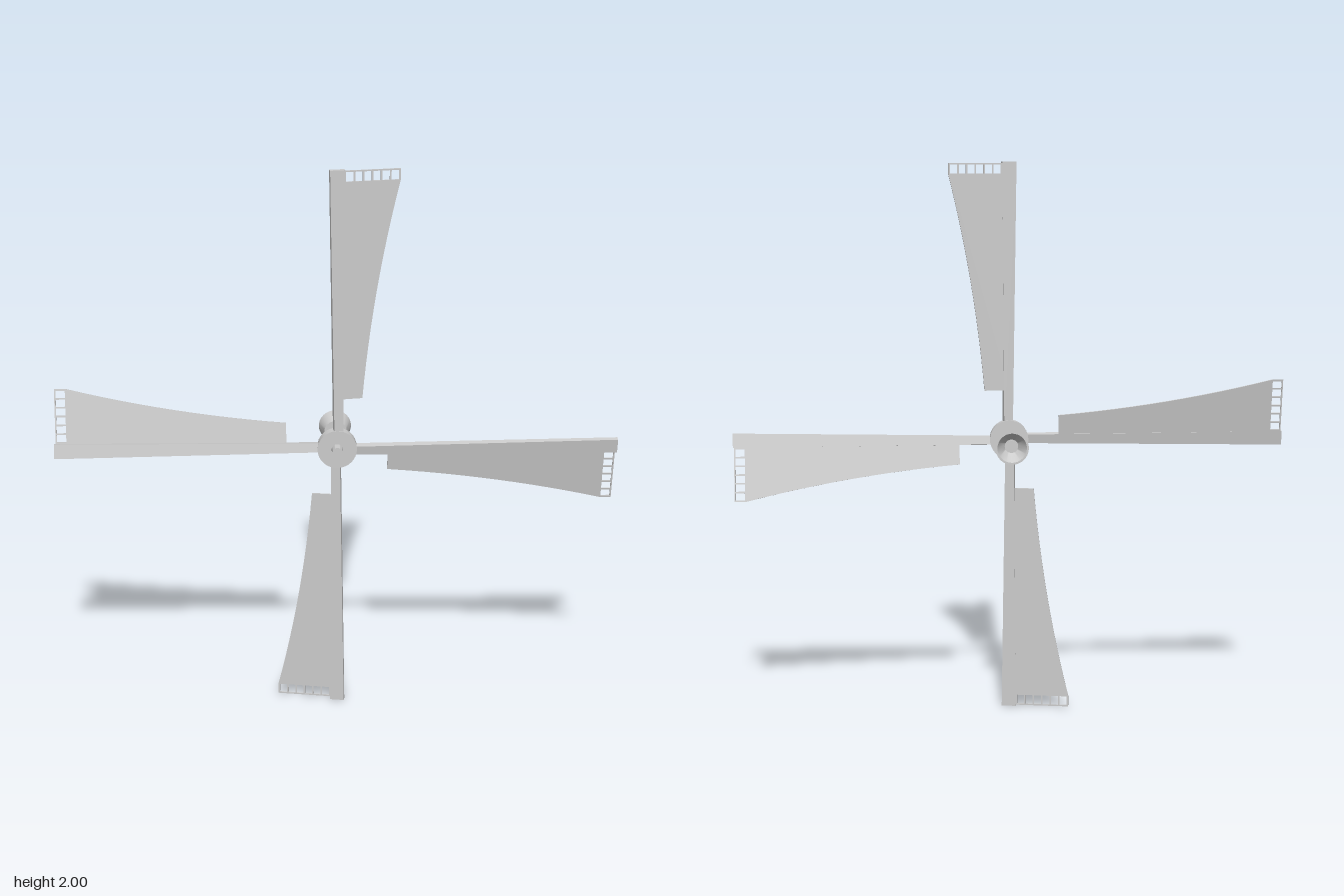
import * as THREE from 'three';
import { toCreasedNormals } from 'three/addons/utils/BufferGeometryUtils.js';

const material = new THREE.MeshStandardMaterial({ color: 0xcccccc, side: THREE.DoubleSide });

function addMesh(parent, name, geometry) {
  const mesh = new THREE.Mesh(geometry, material);
  mesh.name = name;
  parent.add(mesh);
  return mesh;
}

// Turned part along z, from [radius, z] points ordered back to front
function turned(points) {
  const geometry = new THREE.LatheGeometry(points.map(([r, z]) => new THREE.Vector2(r, z)), 32);
  return toCreasedNormals(geometry.rotateX(Math.PI / 2), 0.6);
}

// Long beam, slimmer in width and deeper towards the hub
function sparGeometry() {
  const inner = 0.04, outer = 1;
  const geometry = new THREE.BoxGeometry(1, 1, 1);
  const p = geometry.attributes.position;
  for (let i = 0; i < p.count; i++) {
    const tip = p.getY(i) > 0;
    const left = p.getX(i) < 0;
    const x = left ? (tip ? -0.026 : -0.012) : (tip ? 0.026 : 0.02);
    const z = Math.sign(p.getZ(i)) * (tip ? 0.009 : 0.013);
    p.setXYZ(i, x, tip ? outer : inner, z);
  }
  geometry.computeVertexNormals();
  return geometry;
}

// Thin panel with a concave trailing edge and a row of openings at the tip
function sailGeometry() {
  const shape = new THREE.Shape();
  shape.moveTo(0, 0.18);
  shape.lineTo(0.092, 0.18);
  shape.quadraticCurveTo(0.127, 0.58, 0.222, 0.955);
  shape.lineTo(0.222, 0.995);
  shape.lineTo(0, 0.995);
  shape.closePath();

  const count = 6, start = 0.032, pitch = 0.0316;
  for (let i = 0; i < count; i++) {
    const x0 = start + i * pitch, x1 = x0 + 0.026;
    const hole = new THREE.Path();
    hole.moveTo(x0, 0.957);
    hole.lineTo(x0, 0.99);
    hole.lineTo(x1, 0.99);
    hole.lineTo(x1, 0.957);
    hole.closePath();
    shape.holes.push(hole);
  }
  const depth = 0.005;
  return new THREE.ExtrudeGeometry(shape, { depth, bevelEnabled: false, curveSegments: 12 })
    .translate(0, 0, -0.007 - depth / 2);
}

export function createModel() {
  const model = new THREE.Group();
  model.name = 'windmillRotor';

  const rotor = new THREE.Group();
  rotor.name = 'rotor';
  rotor.position.y = 1;
  model.add(rotor);

  // Hub disc, axle and hollow rear cup
  addMesh(rotor, 'hub', turned([[0, 0.07], [0.07, 0.07], [0.07, 0.106], [0, 0.106]]));
  addMesh(rotor, 'axle', turned([[0, -0.1], [0.02, -0.1], [0.02, 0.143], [0, 0.143]]));
  addMesh(rotor, 'rearCup', turned([
    [0, -0.095], [0.024, -0.095], [0.052, -0.145], [0.059, -0.145], [0.041, -0.078], [0, -0.078],
  ]));

  // Four pitched blades around the axle
  const spar = sparGeometry();
  const sail = sailGeometry();
  for (let i = 0; i < 4; i++) {
    const arm = new THREE.Group();
    arm.name = `blade${i + 1}`;
    arm.rotation.z = -i * Math.PI / 2;
    rotor.add(arm);

    const pitched = new THREE.Group();
    pitched.name = 'pitchedBlade';
    pitched.position.z = 0.091;
    pitched.rotation.y = THREE.MathUtils.degToRad(10);
    arm.add(pitched);
    addMesh(pitched, 'spar', spar);
    addMesh(pitched, 'sail', sail);
  }
  return model;
}
